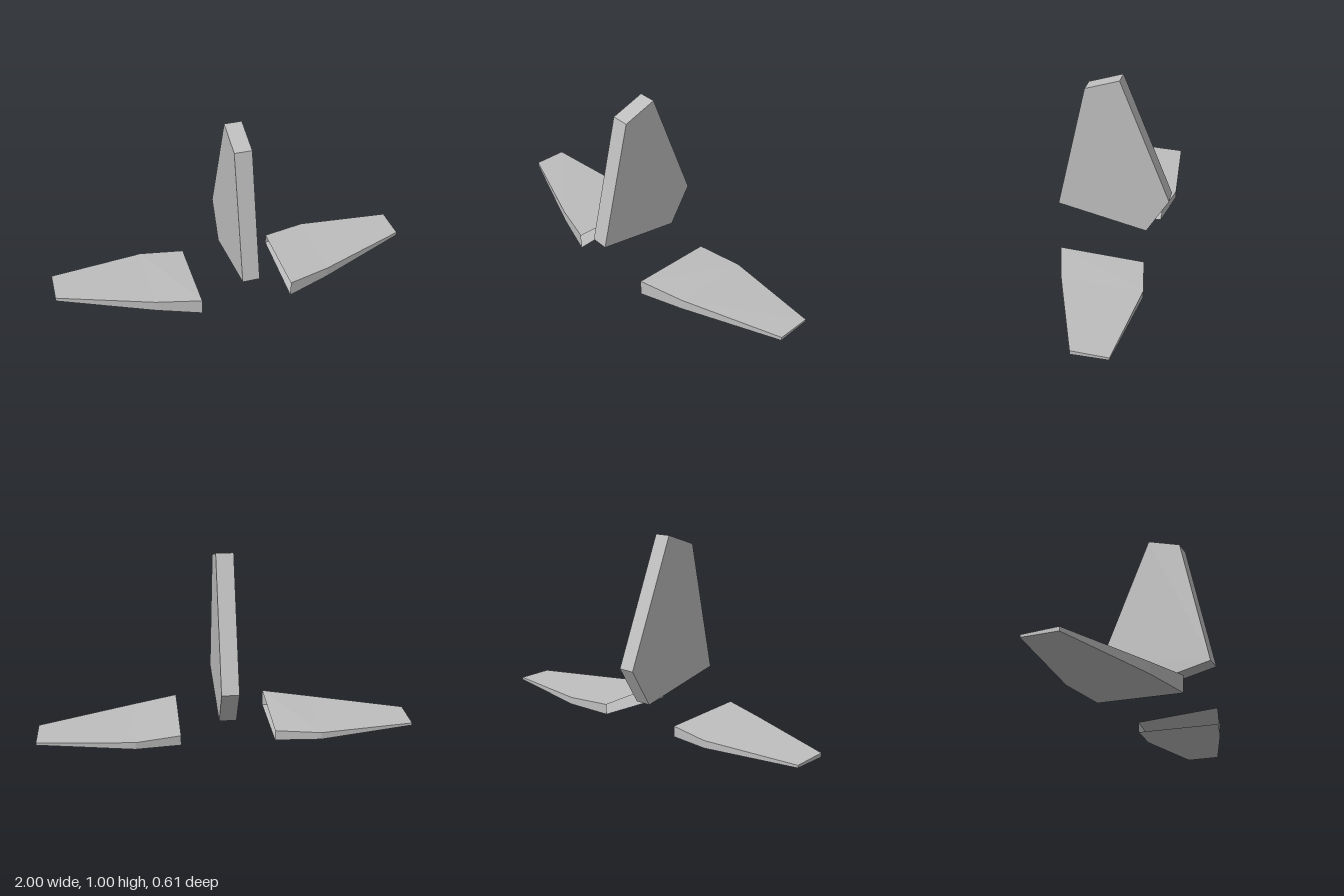
import * as THREE from 'three';

const grey = new THREE.MeshStandardMaterial({ color: 0xbebebe, side: THREE.DoubleSide });
grey.name = 'lightGrey';

// Span stations: x, then [y, z] of front-bottom, front-top, back-top, back-bottom
const stations = [
  { x: 0.25, ring: [[0, 0.237], [0.09, 0.237], [0.068, -0.217], [0.012, -0.217]] },
  { x: 0.49, ring: [[0.019, 0.167], [0.079, 0.167], [0.066, -0.262], [0.027, -0.262]] },
  { x: 1.0, ring: [[0.051, -0.022], [0.072, -0.022], [0.067, -0.21], [0.054, -0.21]] },
];

// Tapered stabilizer: closed at the tip, open at the root
function makeStabilizer(side, name) {
  const rings = stations.map(({ x, ring }) => ring.map(([y, z]) => [side * x, y, z]));
  const positions = [];
  const quad = (a, b, c, d) => {
    const corners = side > 0 ? [a, b, c, a, c, d] : [a, c, b, a, d, c];
    corners.forEach((p) => positions.push(...p));
  };
  for (let s = 0; s < rings.length - 1; s++) {
    for (let i = 0; i < 4; i++) {
      const j = (i + 1) % 4;
      quad(rings[s][i], rings[s + 1][i], rings[s + 1][j], rings[s][j]);
    }
  }
  const tip = rings[rings.length - 1];
  quad(tip[0], tip[3], tip[2], tip[1]);

  const geometry = new THREE.BufferGeometry();
  geometry.setAttribute('position', new THREE.Float32BufferAttribute(positions, 3));
  geometry.computeVertexNormals();
  const mesh = new THREE.Mesh(geometry, grey);
  mesh.name = name;
  return mesh;
}

// Upright fin: a five-sided side outline (z, y) extruded across x
function makeFin() {
  const outline = [[0.306, 0.235], [0.147, 0.94], [-0.035, 1], [-0.306, 0.33], [-0.186, 0.126]];
  const shape = new THREE.Shape(outline.map(([z, y]) => new THREE.Vector2(z, y)));
  const thickness = 0.092;
  const geometry = new THREE.ExtrudeGeometry(shape, { depth: thickness, bevelEnabled: false });
  geometry.translate(0, 0, -thickness / 2);
  geometry.rotateY(-Math.PI / 2);
  const mesh = new THREE.Mesh(geometry, grey);
  mesh.name = 'verticalFin';
  return mesh;
}

export function createModel() {
  const group = new THREE.Group();
  group.name = 'tailAssembly';
  group.add(makeFin(), makeStabilizer(1, 'leftStabilizer'), makeStabilizer(-1, 'rightStabilizer'));
  return group;
}
